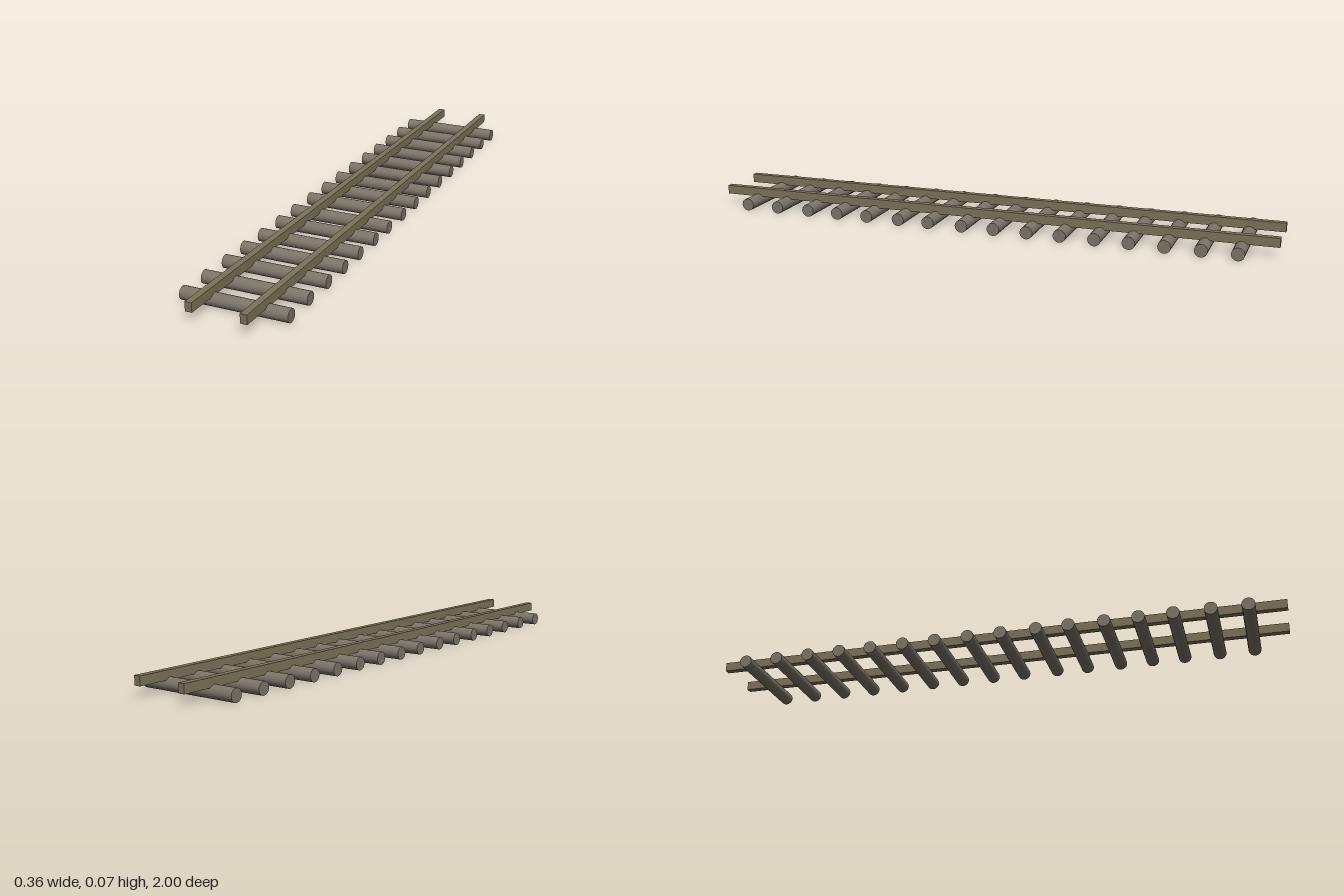
import * as THREE from 'three';

export function createModel() {
  const track = new THREE.Group();
  track.name = 'railTrack';

  const sleeperMaterial = new THREE.MeshStandardMaterial({ color: 0x7c7568 });
  const railMaterial = new THREE.MeshStandardMaterial({ color: 0x7c7358 });

  // Round sleepers, slightly unevenly spaced along the track
  const radius = 0.022;
  const sleeperGeometry = new THREE.CylinderGeometry(radius, radius, 0.36, 24);
  sleeperGeometry.rotateZ(Math.PI / 2);
  const sleeperZ = [
    -0.879, -0.762, -0.644, -0.527, -0.412, -0.294, -0.179, -0.062,
    0.053, 0.176, 0.287, 0.407, 0.521, 0.635, 0.757, 0.877,
  ];
  const sleepers = new THREE.Group();
  sleepers.name = 'sleepers';
  for (const z of sleeperZ) {
    const sleeper = new THREE.Mesh(sleeperGeometry, sleeperMaterial);
    sleeper.name = 'sleeper';
    sleeper.position.set(0, radius, z);
    sleepers.add(sleeper);
  }
  track.add(sleepers);

  // Square rails sunk a little into the sleepers
  const railGeometry = new THREE.BoxGeometry(0.023, 0.031, 2);
  for (const [name, x] of [['rightRail', -0.083], ['leftRail', 0.096]]) {
    const rail = new THREE.Mesh(railGeometry, railMaterial);
    rail.name = name;
    rail.position.set(x, 0.0505, 0);
    track.add(rail);
  }

  return track;
}
